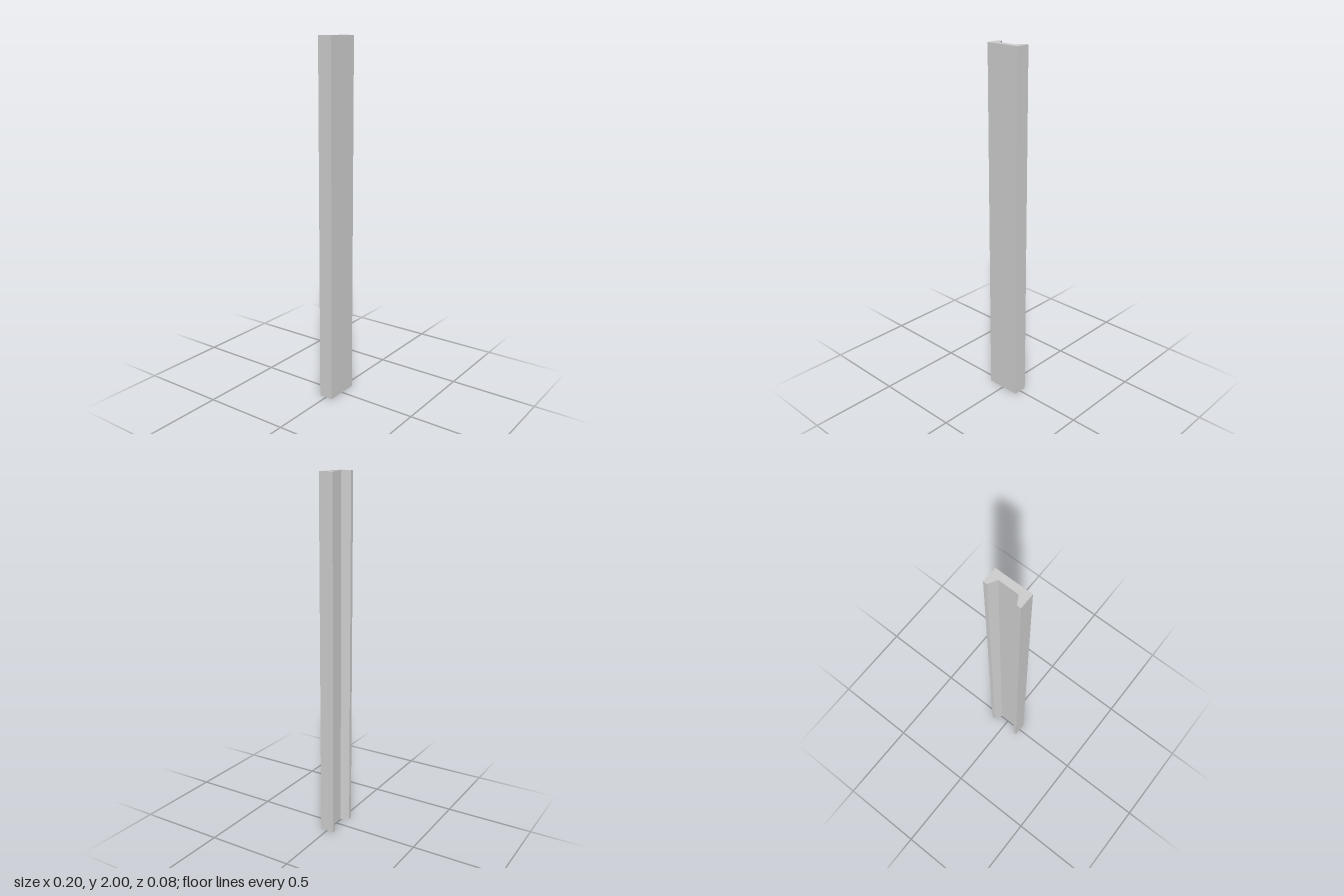
import * as THREE from 'three';

export function createModel() {
  const group = new THREE.Group();
  group.name = 'channelPost';

  // Half of the channel cross-section as [x, z], from the front face to the groove floor
  const half = [[0.1, 0.04], [0.1, -0.041], [0.079, -0.041], [0.054, 0.003]];
  const mirrored = half.map(([x, z]) => [-x, z]).reverse();
  const profile = new THREE.Shape(
    [...half, ...mirrored].map(([x, z]) => new THREE.Vector2(x, -z))
  );

  // Extrude the section to full height and stand it upright
  const geometry = new THREE.ExtrudeGeometry(profile, { depth: 2, bevelEnabled: false });
  geometry.rotateX(-Math.PI / 2);

  const post = new THREE.Mesh(
    geometry,
    new THREE.MeshStandardMaterial({ color: 0xcccccc, flatShading: true })
  );
  post.name = 'post';
  group.add(post);
  return group;
}
